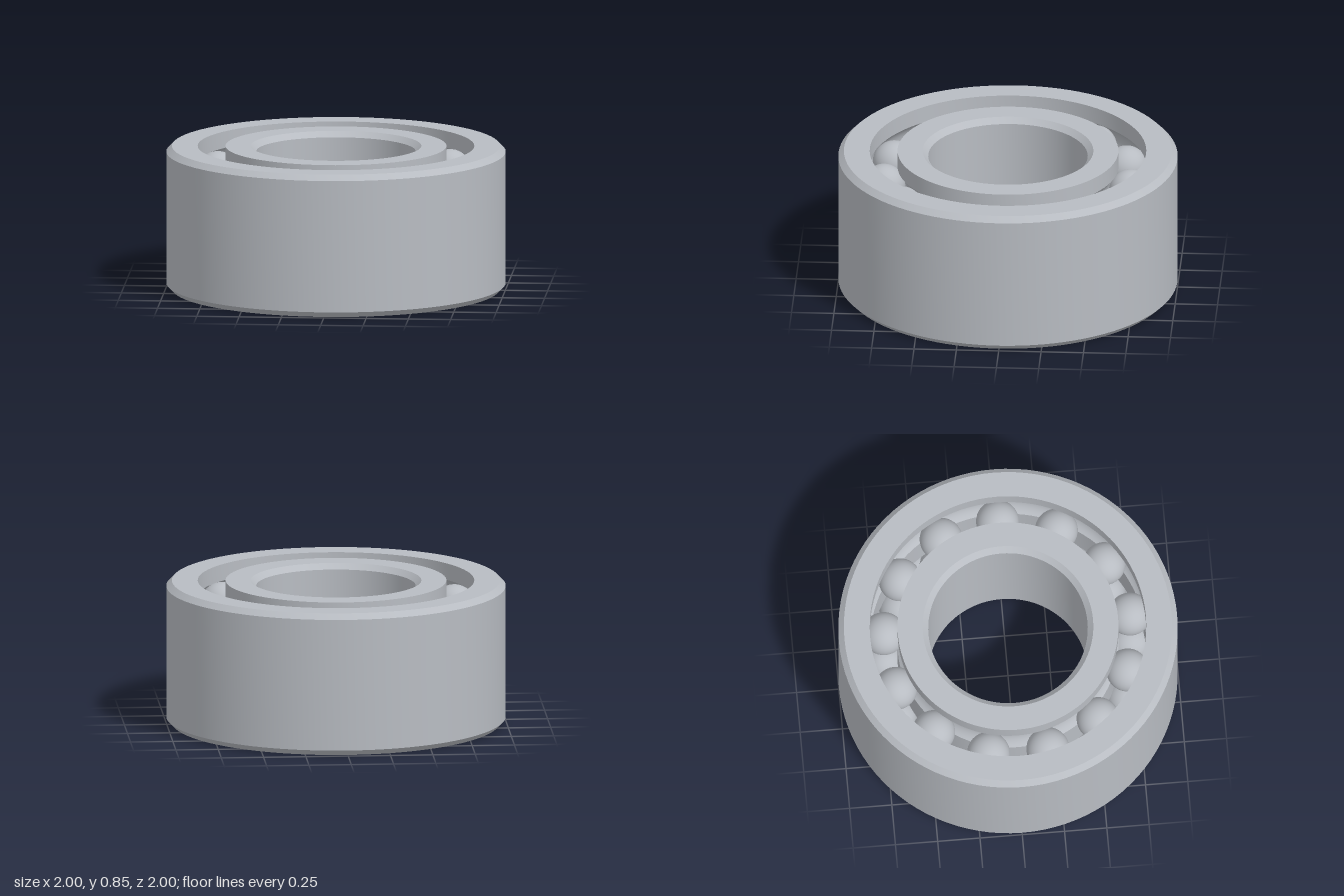
import * as THREE from 'three';
import { toCreasedNormals } from 'three/addons/utils/BufferGeometryUtils.js';

const HEIGHT = 0.852;
const CHAMFER = 0.033;
const PITCH = 0.733;          // radius of the ball circle
const WALL_GAP = 0.082;       // ball circle to either ring wall
const BALL_RADIUS = 0.127;
const GROOVE_RADIUS = 0.13;
const ROWS = [0.2, HEIGHT - 0.2];
const BALLS_PER_ROW = 13;

// Arc of a raceway; side +1 cuts into the outer ring, -1 into the inner ring
function groove(y, side) {
  const half = Math.acos(WALL_GAP / GROOVE_RADIUS);
  const points = [];
  for (let i = 0; i <= 14; i++) {
    const t = side * half * (1 - i / 7);
    points.push([PITCH + side * GROOVE_RADIUS * Math.cos(t), y + GROOVE_RADIUS * Math.sin(t)]);
  }
  return points;
}

// Ring turned from a closed profile, with crisp machined edges
function ring(name, profile, material) {
  const points = [...profile, profile[0]].map(([r, y]) => new THREE.Vector2(r, y));
  const geometry = toCreasedNormals(new THREE.LatheGeometry(points, 96), Math.PI / 7);
  const mesh = new THREE.Mesh(geometry, material);
  mesh.name = name;
  return mesh;
}

export function createModel() {
  const model = new THREE.Group();
  model.name = 'ballBearing';
  const steel = new THREE.MeshStandardMaterial({ color: 0xb8bcc2 });
  steel.name = 'steel';

  // Outer ring: chamfered outside, two raceways inside
  const outerWall = PITCH + WALL_GAP;
  model.add(ring('outerRing', [
    [outerWall, 0],
    [1 - CHAMFER, 0],
    [1, CHAMFER],
    [1, HEIGHT - CHAMFER],
    [1 - CHAMFER, HEIGHT],
    [outerWall, HEIGHT],
    ...groove(ROWS[1], 1),
    ...groove(ROWS[0], 1),
  ], steel));

  // Inner ring: two raceways outside, chamfered bore
  const innerWall = PITCH - WALL_GAP;
  const bore = 0.47;
  model.add(ring('innerRing', [
    [innerWall, 0],
    ...groove(ROWS[0], -1),
    ...groove(ROWS[1], -1),
    [innerWall, HEIGHT],
    [bore + CHAMFER, HEIGHT],
    [bore, HEIGHT - CHAMFER],
    [bore, CHAMFER],
    [bore + CHAMFER, 0],
  ], steel));

  // Two aligned rows of balls
  const ballGeometry = new THREE.SphereGeometry(BALL_RADIUS, 32, 20);
  ROWS.forEach((y, row) => {
    const balls = new THREE.Group();
    balls.name = row === 0 ? 'lowerBallRow' : 'upperBallRow';
    for (let i = 0; i < BALLS_PER_ROW; i++) {
      const angle = (i / BALLS_PER_ROW) * Math.PI * 2;
      const ball = new THREE.Mesh(ballGeometry, steel);
      ball.name = 'ball';
      ball.position.set(PITCH * Math.cos(angle), y, PITCH * Math.sin(angle));
      balls.add(ball);
    }
    model.add(balls);
  });

  return model;
}
